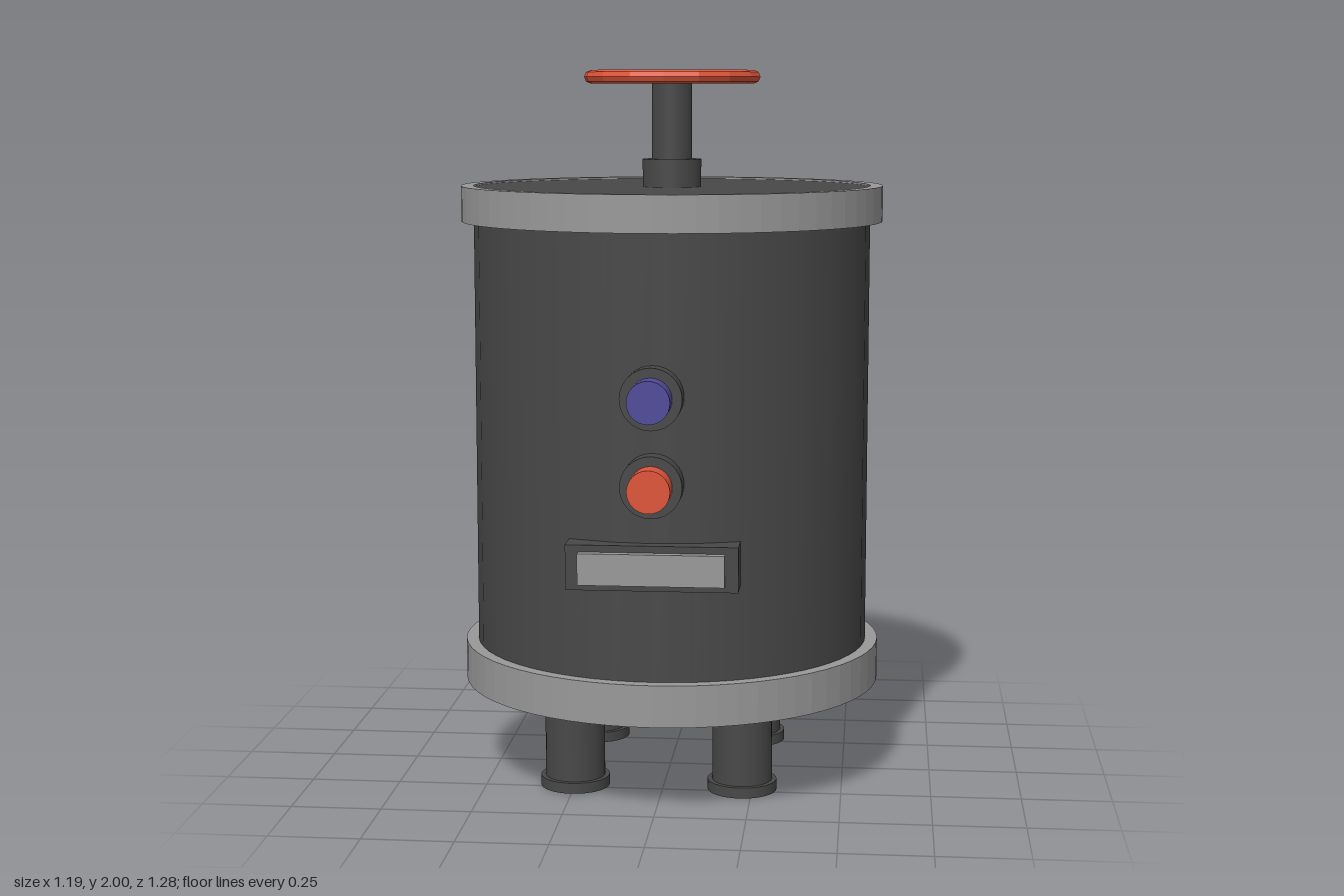
import * as THREE from 'three';

const material = (color, flatShading = false) => new THREE.MeshStandardMaterial({ color, flatShading });

export function createModel() {
  const model = new THREE.Group();
  const dark = material(0x484848);
  const metal = material(0x999999);
  const red = material(0xe0553a);
  const redFlat = material(0xe0553a, true);
  const blue = material(0x504a9a);

  // Everything round shares the tank axis
  const tank = new THREE.Group();
  tank.name = 'tank';
  tank.position.z = -0.04;
  model.add(tank);

  const add = (parent, name, geometry, mat, x = 0, y = 0, z = 0) => {
    const mesh = new THREE.Mesh(geometry, mat);
    mesh.name = name;
    mesh.position.set(x, y, z);
    parent.add(mesh);
    return mesh;
  };
  // Upright cylinder between two heights
  const post = (parent, name, r, y0, y1, mat, x = 0, z = 0, sides = 32) =>
    add(parent, name, new THREE.CylinderGeometry(r, r, y1 - y0, sides), mat, x, (y0 + y1) / 2, z);

  // Drum and its two hoops
  post(tank, 'drum', 0.56, 0.27, 1.675, dark);
  const hoop = (name, y0, y1) => {
    const shape = new THREE.Shape().absarc(0, 0, 0.595, 0, Math.PI * 2);
    shape.holes.push(new THREE.Path().absarc(0, 0, 0.56, 0, Math.PI * 2, true));
    const geometry = new THREE.ExtrudeGeometry(shape, { depth: y1 - y0, bevelEnabled: false, curveSegments: 32 });
    add(tank, name, geometry.rotateX(-Math.PI / 2), metal, 0, y0);
  };
  hoop('lowerHoop', 0.265, 0.38);
  hoop('upperHoop', 1.58, 1.68);

  // Four legs with wider feet
  for (const x of [-0.25, 0.222]) {
    for (const z of [-0.285, 0.22]) {
      const leg = new THREE.Group();
      leg.name = 'leg';
      leg.position.set(x, 0, z);
      model.add(leg);
      post(leg, 'legPost', 0.084, 0.02, 0.28, dark);
      post(leg, 'foot', 0.097, 0, 0.03, dark);
    }
  }

  // Valve stem and collar
  post(tank, 'stemCollar', 0.083, 1.67, 1.753, dark);
  post(tank, 'stem', 0.057, 1.74, 1.995, dark);

  // Handwheel: rim and four spokes
  const wheel = new THREE.Group();
  wheel.name = 'handwheel';
  wheel.position.y = 1.982;
  tank.add(wheel);
  add(wheel, 'wheelRim', new THREE.TorusGeometry(0.23, 0.019, 8, 16).rotateX(Math.PI / 2), redFlat);
  for (let i = 0; i < 4; i++) {
    const spoke = new THREE.CylinderGeometry(0.013, 0.013, 0.2, 8).rotateZ(Math.PI / 2).translate(0.125, 0, 0);
    add(wheel, 'spoke', spoke.rotateY(i * Math.PI / 2), red);
  }

  // Two push buttons on round bases
  const disc = (name, r, z0, z1, y, mat) =>
    add(model, name, new THREE.CylinderGeometry(r, r, z1 - z0, 32).rotateX(Math.PI / 2), mat, 0, y, (z0 + z1) / 2);
  for (const [name, y, mat] of [['blueButton', 1.15, blue], ['redButton', 0.917, red]]) {
    disc(name + 'Base', 0.083, 0.48, 0.573, y, dark);
    disc(name, 0.057, 0.56, 0.64, y, mat);
  }

  // Label plate in its frame
  add(model, 'plateFrame', new THREE.BoxGeometry(0.46, 0.122, 0.1), dark, 0, 0.697, 0.505);
  add(model, 'plate', new THREE.BoxGeometry(0.39, 0.085, 0.06), metal, 0, 0.697, 0.55);

  return model;
}
